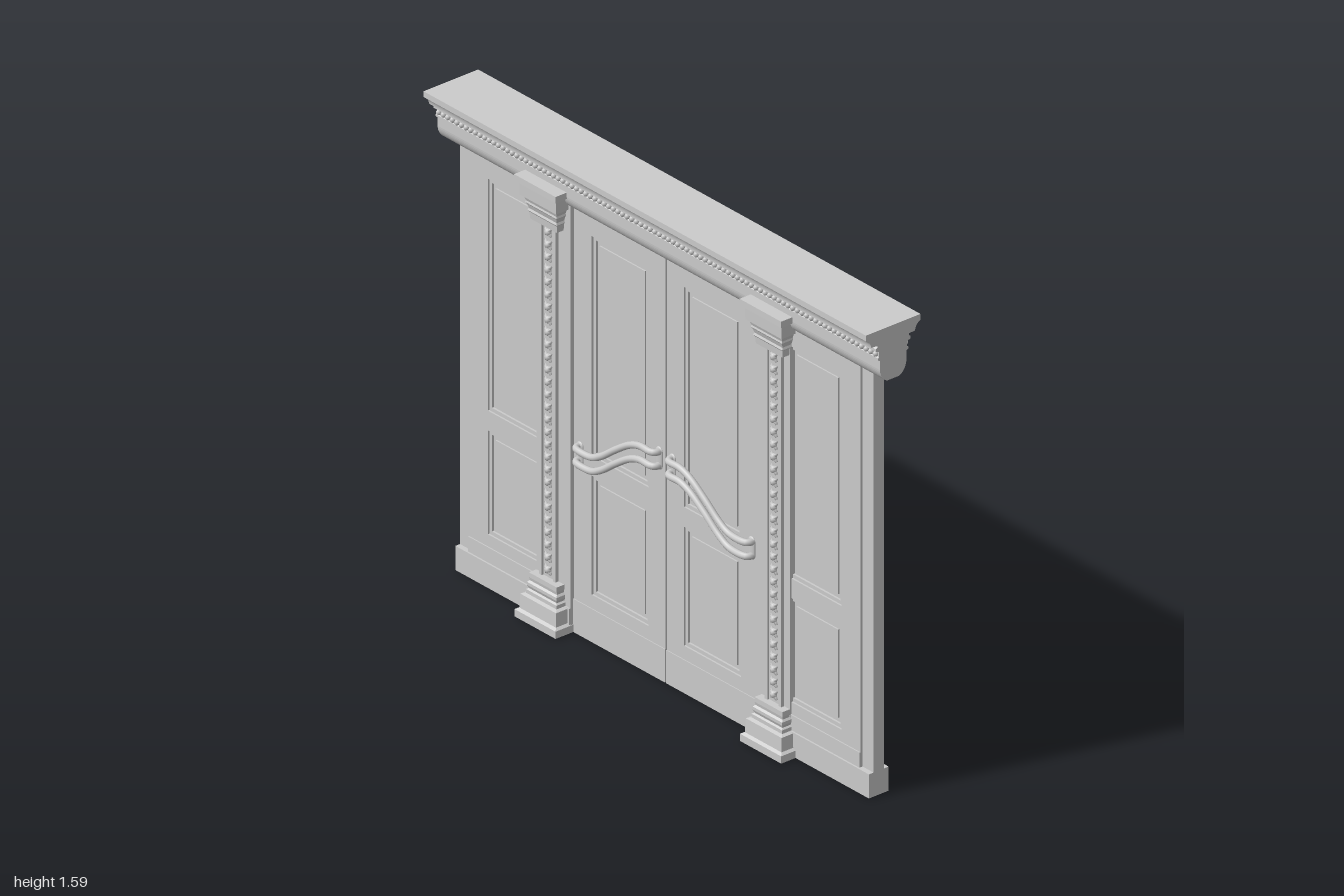
import * as THREE from 'three';
import { mergeGeometries } from 'three/addons/utils/BufferGeometryUtils.js';

const flat = new THREE.MeshStandardMaterial({ color: 0xcccccc, flatShading: true });
const smooth = new THREE.MeshStandardMaterial({ color: 0xcccccc });

function add(parent, name, geometry, material = flat) {
  const mesh = new THREE.Mesh(geometry, material);
  mesh.name = name;
  parent.add(mesh);
  return mesh;
}

// Box from x and y ranges, centred on z with half depth d
function slab(x0, x1, y0, y1, d) {
  return new THREE.BoxGeometry(x1 - x0, y1 - y0, 2 * d).translate((x0 + x1) / 2, (y0 + y1) / 2, 0);
}

function rectangle(target, [x0, x1, y0, y1]) {
  target.moveTo(x0, y0).lineTo(x1, y0).lineTo(x1, y1).lineTo(x0, y1).closePath();
  return target;
}

// Rectangular frame with rectangular openings
function frame(outer, holes, d) {
  const shape = rectangle(new THREE.Shape(), outer);
  for (const h of holes) shape.holes.push(rectangle(new THREE.Path(), h));
  return new THREE.ExtrudeGeometry(shape, { depth: 2 * d, bevelEnabled: false }).translate(0, 0, -d);
}

const inset = ([x0, x1, y0, y1], t) => [x0 + t, x1 - t, y0 + t, y1 - t];

// Framed leaf with stepped mouldings and raised fields in each opening
function panelled(name, outer, openings, d) {
  const group = new THREE.Group();
  group.name = name;
  add(group, 'leafFrame', frame(outer, openings, d));
  for (const o of openings) {
    add(group, 'panelMoulding', frame(o, [inset(o, 0.012)], d - 0.006));
    add(group, 'panelBack', slab(...o, d - 0.013));
    add(group, 'raisedField', slab(...inset(o, 0.026), d - 0.008));
  }
  return group;
}

// Square moulded block turned from a [half width, height] profile
function squareBlock(profile) {
  const points = profile.map(([r, y]) => new THREE.Vector2(r * Math.SQRT2, y));
  return new THREE.LatheGeometry(points, 4).rotateY(Math.PI / 4);
}

// Alternating rosettes and crossed leaves up both faces of a shaft
function ornament() {
  const parts = [];
  const bead = (x, y, z, rx, ry, rz, turn = 0) => parts.push(
    new THREE.SphereGeometry(1, 7, 5).scale(rx, ry, rz).rotateZ(turn).translate(x, y, z));
  for (const side of [-1, 1]) {
    for (let i = 0; i < 28; i++) {
      const y = 0.175 + i * 0.0415;
      bead(0, y, side * 0.042, 0.012, 0.012, 0.012);
      for (const turn of [Math.PI / 4, -Math.PI / 4]) {
        bead(0, y, side * 0.042, 0.022, 0.006, 0.008, turn);
      }
    }
  }
  return mergeGeometries(parts);
}

function column(x) {
  const group = new THREE.Group();
  group.name = 'column';
  group.position.x = x;
  add(group, 'base', squareBlock([
    [0, 0], [0.093, 0], [0.093, 0.024], [0.083, 0.03], [0.081, 0.076], [0.069, 0.08],
    [0.069, 0.092], [0.063, 0.096], [0.067, 0.106], [0.067, 0.116], [0.061, 0.122],
    [0.063, 0.132], [0.063, 0.148], [0, 0.148],
  ]));
  add(group, 'shaftCore', slab(-0.037, 0.037, 0.14, 1.33, 0.039));
  for (const s of [-1, 1]) {
    add(group, 'shaftRim', slab(s * 0.031 - 0.006, s * 0.031 + 0.006, 0.14, 1.33, 0.046));
  }
  add(group, 'shaftOrnament', ornament(), smooth);
  add(group, 'capital', squareBlock([
    [0, 1.322], [0.06, 1.322], [0.062, 1.345], [0.066, 1.35], [0.063, 1.357], [0.068, 1.372],
    [0.071, 1.376], [0.069, 1.382], [0.074, 1.396], [0.082, 1.4], [0.083, 1.442],
    [0.094, 1.446], [0.094, 1.467], [0, 1.467],
  ]));
  return group;
}

// Paired swept bars whose ends return to the door
function handles(s, side) {
  const group = new THREE.Group();
  group.name = 'doorHandle';
  for (const drop of [0, 0.046]) {
    const path = new THREE.CatmullRomCurve3([
      [0.028, 0.757, 0.018], [0.03, 0.757, 0.038], [0.042, 0.757, 0.046], [0.09, 0.757, 0.046],
      [0.135, 0.742, 0.046], [0.20, 0.70, 0.046], [0.265, 0.652, 0.046], [0.31, 0.63, 0.046],
      [0.375, 0.628, 0.046], [0.39, 0.628, 0.038], [0.392, 0.628, 0.018],
    ].map(([x, y, z]) => new THREE.Vector3(s * x, y - drop, side * z)));
    add(group, 'handleBar', new THREE.TubeGeometry(path, 48, 0.011, 10), smooth);
  }
  for (const [x, y] of [[0.03, 0.734], [0.388, 0.605]]) {
    add(group, 'handlePlate', new THREE.CapsuleGeometry(0.015, 0.046, 4, 12)
      .scale(1, 1, 0.4).translate(s * x, y, side * 0.023), smooth);
  }
  return group;
}

function cornice() {
  const group = new THREE.Group();
  group.name = 'cornice';
  // Right half of the moulding section, from the underside up
  const shape = new THREE.Shape();
  shape.moveTo(0, 1.408).lineTo(0.022, 1.408);
  shape.bezierCurveTo(0.036, 1.412, 0.05, 1.43, 0.051, 1.452);
  shape.lineTo(0.051, 1.482).lineTo(0.058, 1.486).lineTo(0.058, 1.493).lineTo(0.054, 1.496);
  shape.lineTo(0.054, 1.513).lineTo(0.066, 1.517).lineTo(0.066, 1.526);
  shape.lineTo(0.06, 1.531).lineTo(0.06, 1.536).lineTo(0.084, 1.537);
  shape.quadraticCurveTo(0.086, 1.557, 0.105, 1.566);
  shape.lineTo(0.105, 1.585);
  const half = shape.getPoints(10);
  const section = new THREE.Shape([
    ...half, ...half.slice(1).reverse().map((p) => new THREE.Vector2(-p.x, p.y)),
  ]);
  add(group, 'corniceMoulding', new THREE.ExtrudeGeometry(section, { depth: 2, bevelEnabled: false })
    .rotateY(Math.PI / 2).translate(-1, 0, 0));
  // Bead course under the crown
  const beads = [];
  for (const side of [-1, 1]) {
    for (let i = 0; i < 96; i++) {
      beads.push(new THREE.SphereGeometry(0.009, 7, 5)
        .translate(-0.9875 + i * 1.975 / 95, 1.504, side * 0.057));
    }
  }
  add(group, 'beadCourse', mergeGeometries(beads), smooth);
  return group;
}

export function createModel() {
  const model = new THREE.Group();
  model.name = 'panelledDoorway';
  // Swap a range to the other side of the centre line
  const mirror = (s, [x0, x1, y0, y1]) => (s > 0 ? [x0, x1, y0, y1] : [-x1, -x0, y0, y1]);

  for (const s of [-1, 1]) {
    const m = (...r) => mirror(s, r);
    // Side wall with end strip, plinth and skirting
    model.add(panelled('sideWall', m(0.5, 0.885, 0, 1.42),
      [m(0.56, 0.80, 0.17, 0.515), m(0.56, 0.80, 0.58, 1.35)], 0.028));
    add(model, 'endStrip', slab(...m(0.88, 0.935, 0, 1.42), 0.02));
    add(model, 'plinth', slab(...m(0.42, 0.935, 0, 0.08), 0.038));
    add(model, 'skirting', slab(...m(0.45, 0.885, 0.07, 0.13), 0.032));

    // Door leaf with kick plate and handles on both faces
    model.add(panelled('doorLeaf', m(0.003, 0.43, 0, 1.42),
      [m(0.08, 0.337, 0.155, 0.55), m(0.08, 0.337, 0.615, 1.345)], 0.022));
    add(model, 'kickPlate', slab(...m(0.003, 0.42, 0, 0.11), 0.025));
    for (const side of [-1, 1]) model.add(handles(s, side));

    // Door post and column
    add(model, 'doorPost', slab(...m(0.418, 0.573, 0, 1.42), 0.034));
    model.add(column(s * 0.51));
  }
  model.add(cornice());
  return model;
}
